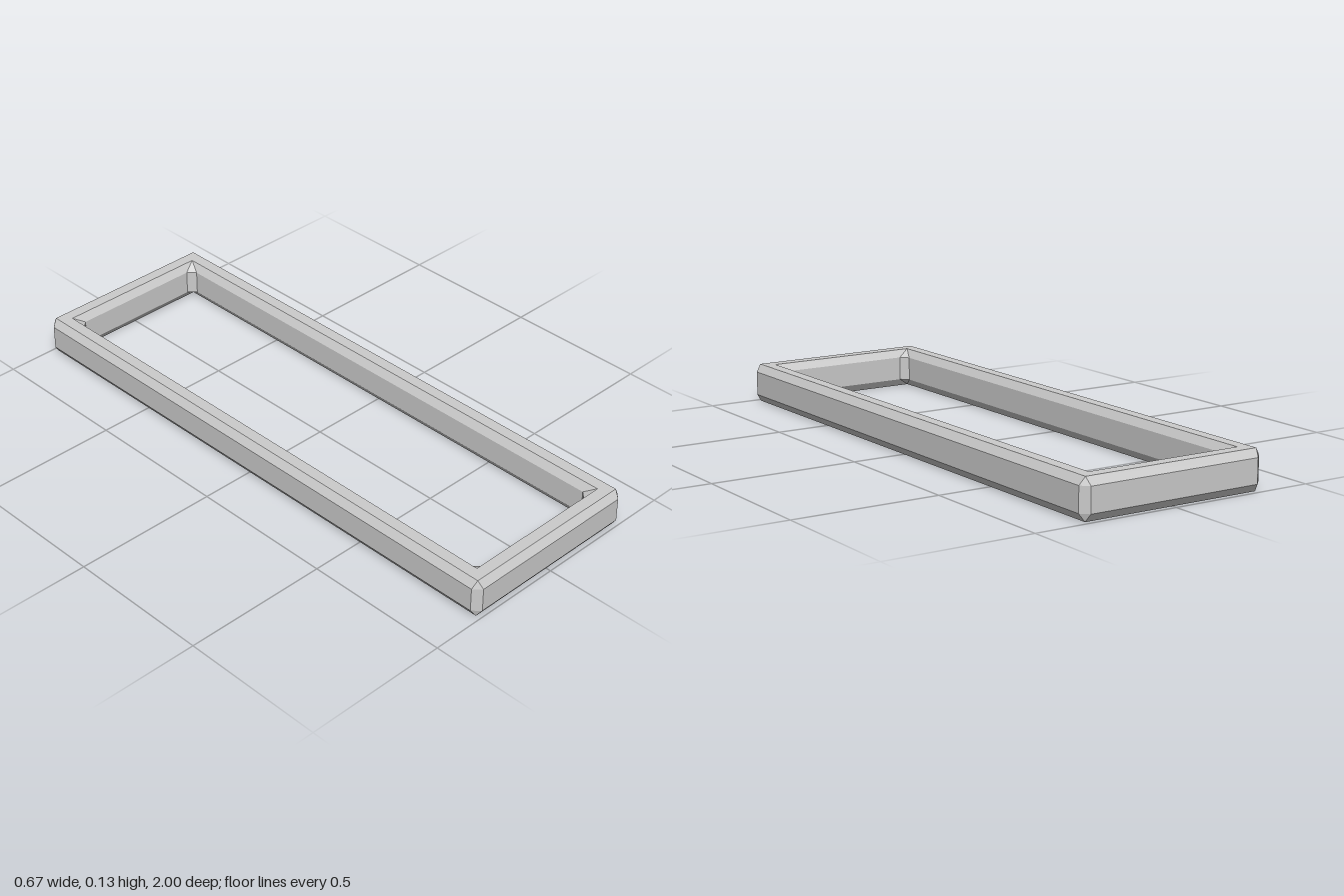
import * as THREE from 'three';

// One rectangular ring at height y; cut trims its four corners
function ring(x, z, y, cut) {
  const points = [];
  for (const [sx, sz] of [[1, 1], [-1, 1], [-1, -1], [1, -1]]) {
    const pair = [
      new THREE.Vector3(sx * x, y, sz * (z - cut)),
      new THREE.Vector3(sx * (x - cut), y, sz * z),
    ];
    if (sx !== sz) pair.reverse();
    points.push(...pair);
  }
  return points;
}

// Joins closed rings into a flat-faced closed tube, skipping collapsed triangles
function skin(rings) {
  const positions = [];
  const addTriangle = (a, b, c) => {
    if (a.equals(b) || b.equals(c) || a.equals(c)) return;
    for (const p of [a, b, c]) positions.push(p.x, p.y, p.z);
  };
  rings.forEach((low, k) => {
    const high = rings[(k + 1) % rings.length];
    low.forEach((p, j) => {
      const n = (j + 1) % low.length;
      addTriangle(p, high[j], high[n]);
      addTriangle(p, high[n], low[n]);
    });
  });
  const geometry = new THREE.BufferGeometry();
  geometry.setAttribute('position', new THREE.Float32BufferAttribute(positions, 3));
  geometry.computeVertexNormals();
  return geometry;
}

export function createModel() {
  const group = new THREE.Group();
  group.name = 'rectangularFrame';

  const height = 0.134, bevel = 0.026, cut = 0.025;
  // Bevelled cross-section: up the outside, over the top, down the inside
  const rings = [
    ring(0.315, 0.982, 0, 0),
    ring(0.333, 1, bevel, cut),
    ring(0.333, 1, height - bevel, cut),
    ring(0.315, 0.982, height, 0),
    ring(0.275, 0.942, height, 0),
    ring(0.258, 0.925, height - bevel, cut),
    ring(0.258, 0.925, bevel, cut),
    ring(0.275, 0.942, 0, 0),
  ];

  const frame = new THREE.Mesh(
    skin(rings),
    new THREE.MeshStandardMaterial({ color: 0xcccccc, flatShading: true })
  );
  frame.name = 'bevelledFrame';
  group.add(frame);
  return group;
}
